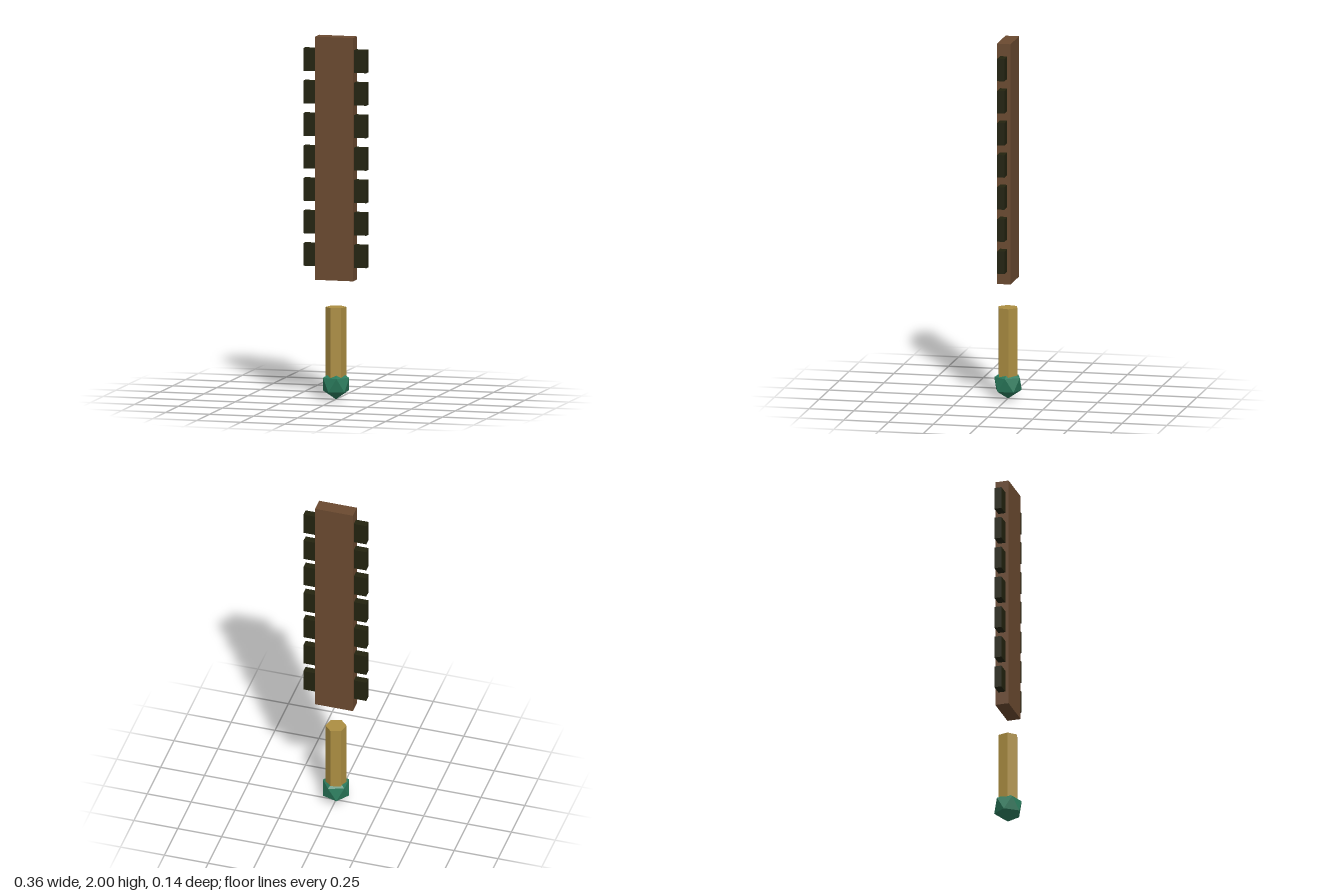
import * as THREE from 'three';

const paint = (name, color) => {
  const m = new THREE.MeshStandardMaterial({ color });
  m.name = name;
  m.flatShading = true;
  return m;
};

export function createModel() {
  const wood = paint('brown wood', 0x6b4a30);
  const stone = paint('dark obsidian', 0x23230f);
  const gold = paint('gold', 0xac8e42);
  const jade = paint('jade green', 0x2a7a5c);

  const model = new THREE.Group();
  model.name = 'toothedClub';
  const add = (name, geometry, material, x, y, z = 0) => {
    const mesh = new THREE.Mesh(geometry, material);
    mesh.name = name;
    mesh.position.set(x, y, z);
    model.add(mesh);
    return mesh;
  };

  // Flat wooden blade
  add('blade', new THREE.BoxGeometry(0.216, 1.34, 0.076), wood, 0, 1.33);

  // Seven stone teeth set into each edge
  const tooth = new THREE.BoxGeometry(0.09, 0.125, 0.04);
  for (let i = 0; i < 7; i++) {
    const y = 0.795 + i * 0.179;
    add('leftTooth' + (i + 1), tooth, stone, 0.134, y);
    add('rightTooth' + (i + 1), tooth, stone, -0.134, y);
  }

  // Six-sided grip, sunk into the pommel
  const grip = add('grip', new THREE.CylinderGeometry(0.058, 0.058, 0.43, 6), gold, 0, 0.295);
  grip.rotation.y = -Math.PI / 12;

  // Twenty-sided gem pommel, standing on one corner
  const pommel = add('pommel', new THREE.IcosahedronGeometry(0.084, 0), jade, 0, 0.085);
  pommel.rotation.z = -Math.atan2(2, 1 + Math.sqrt(5));

  return model;
}
